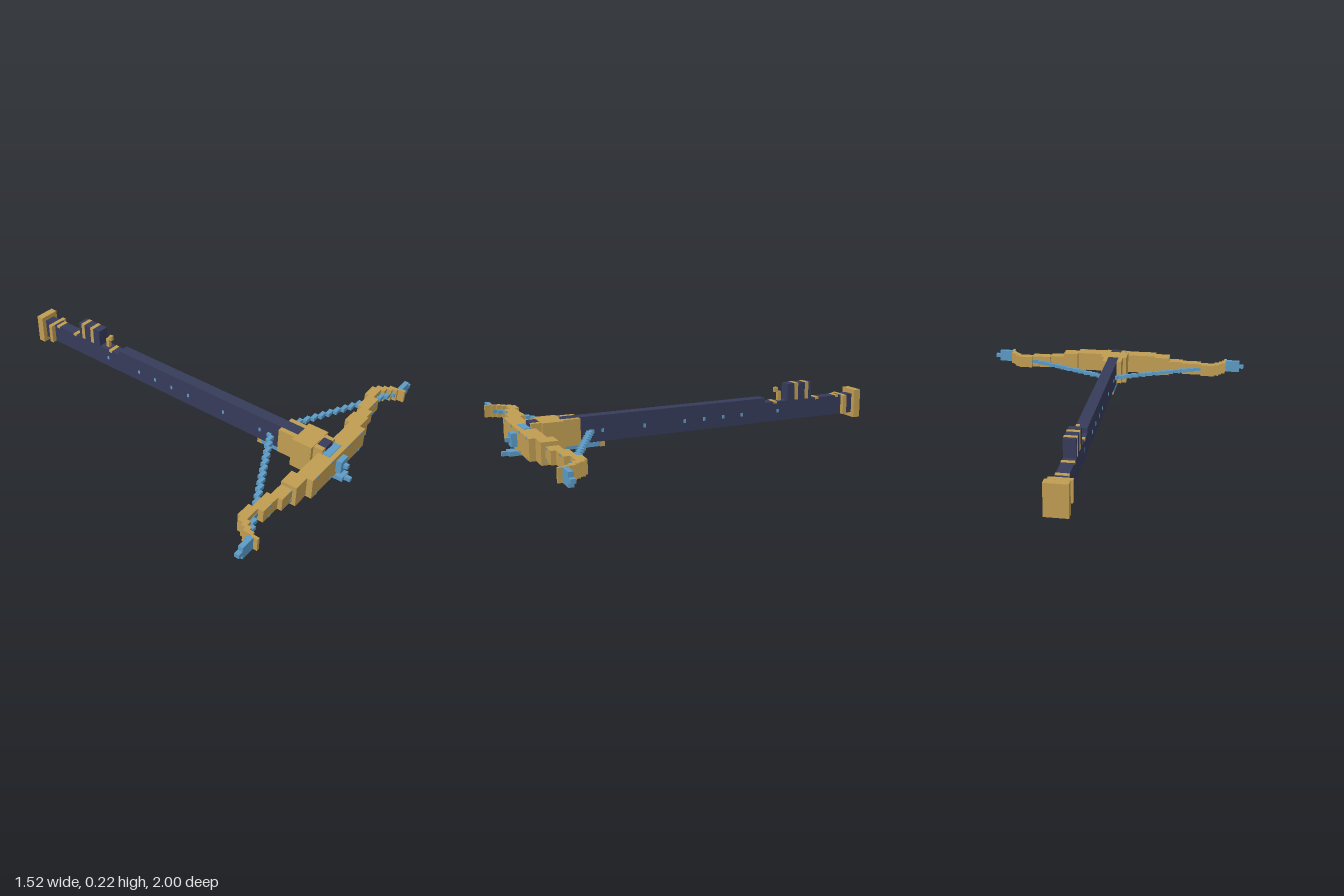
import * as THREE from 'three';

const mat = (name, color) => Object.assign(new THREE.MeshStandardMaterial({ color }), { name });

export function createModel() {
  const gold = mat('gold', 0xc09d52);
  const navy = mat('navy', 0x363b5a);
  const blue = mat('blue', 0x5b9bc6);
  const model = new THREE.Group();
  model.name = 'crossbow';

  // Box from its minimum and maximum on each axis
  function box(name, m, x0, x1, y0, y1, z0, z1) {
    const mesh = new THREE.Mesh(new THREE.BoxGeometry(x1 - x0, y1 - y0, z1 - z0), m);
    mesh.position.set((x0 + x1) / 2, (y0 + y1) / 2, (z0 + z1) / 2);
    mesh.name = name;
    model.add(mesh);
  }
  const centred = (name, m, w, ...r) => box(name, m, -w, w, ...r);
  function pair(name, m, x0, x1, ...r) {
    box(name + 'Left', m, x0, x1, ...r);
    box(name + 'Right', m, -x1, -x0, ...r);
  }

  // Stock and butt
  centred('foreStock', navy, 0.03, 0.025, 0.155, -0.4, 0.72);
  centred('rearStock', navy, 0.03, 0.025, 0.13, -0.96, -0.4);
  centred('buttPlate', gold, 0.055, 0.0, 0.155, -1.0, -0.96);
  centred('buttBand', gold, 0.055, 0.025, 0.131, -0.91, -0.887);

  // Inlaid bands on the rear stock
  for (const z of [-0.86, -0.73, -0.465]) centred('stockInlay', gold, 0.031, 0.12, 0.132, z - 0.01, z + 0.012);

  // Raised block with gold bands, and the catch in front of it
  centred('lockBlock', navy, 0.03, 0.13, 0.22, -0.69, -0.54);
  for (const z of [-0.66, -0.595]) centred('lockBand', gold, 0.031, 0.13, 0.221, z - 0.011, z + 0.011);
  centred('catchPost', gold, 0.009, 0.13, 0.18, -0.512, -0.492);
  centred('catchTip', gold, 0.009, 0.178, 0.203, -0.492, -0.472);

  // Side studs along the stock
  for (const z of [0.51, 0.29, 0.07, -0.04, -0.15, -0.26, -0.48])
    pair('sideStud', blue, 0.029, 0.032, 0.07, 0.089, z - 0.006, z + 0.006);

  // Socket joining stock and bow
  pair('socketCheek', gold, 0.03, 0.055, 0.025, 0.155, 0.63, 0.72);
  centred('socket', gold, 0.075, 0.0, 0.155, 0.715, 0.82);
  centred('socketFront', gold, 0.055, 0.025, 0.153, 0.82, 0.868);
  centred('socketInlay', navy, 0.03, 0.13, 0.155, 0.825, 0.87);
  centred('bowClasp', blue, 0.052, 0.12, 0.133, 0.868, 0.905);

  // Rail under the socket
  centred('rail', blue, 0.03, 0.002, 0.024, 0.525, 0.97);
  centred('railNose', blue, 0.01, 0.002, 0.022, 0.97, 1.0);
  centred('railTail', gold, 0.03, 0.0, 0.025, 0.5, 0.525);

  // Front boss
  centred('boss', blue, 0.03, 0.045, 0.11, 0.93, 0.958);
  centred('bossPin', blue, 0.01, 0.067, 0.087, 0.958, 0.98);

  // Stepped bow: centre, then mirrored limb sections [x0, x1, z0, z1, tall]
  centred('bowCentre', gold, 0.235, 0.025, 0.13, 0.847, 0.93);
  const limb = [
    [0.235, 0.32, 0.82, 0.9, true], [0.32, 0.4, 0.82, 0.88], [0.4, 0.51, 0.8, 0.857],
    [0.51, 0.59, 0.78, 0.828], [0.59, 0.615, 0.797, 0.848], [0.615, 0.632, 0.825, 0.872],
    [0.632, 0.652, 0.848, 0.895], [0.645, 0.66, 0.895, 0.93],
  ];
  for (const [x0, x1, z0, z1, tall] of limb)
    pair('bowLimb', gold, x0, x1, tall ? 0.025 : 0.045, tall ? 0.13 : 0.11, z0, z1);
  pair('bowTip', blue, 0.655, 0.735, 0.045, 0.11, 0.886, 0.91);
  pair('bowTipPin', blue, 0.735, 0.76, 0.067, 0.087, 0.886, 0.91);

  // Small studs on the front face of the bow
  const studs = [[0.07, 0.93, 0.025, 0.13], [0.195, 0.93, 0.025, 0.13], [0.33, 0.88, 0.045, 0.11], [0.46, 0.857, 0.045, 0.11]];
  for (const [x, z, lo, hi] of studs) {
    pair('bowStudTop', blue, x - 0.007, x + 0.007, hi - 0.012, hi, z - 0.004, z + 0.002);
    pair('bowStudBottom', blue, x - 0.007, x + 0.007, lo, lo + 0.012, z - 0.004, z + 0.002);
  }

  // Bowstring in short steps
  const steps = 17, w = 0.66 / steps;
  for (let i = 0; i < steps; i++) {
    const z = 0.568 + i * w * 0.5;
    pair('string', blue, i * w, (i + 1) * w + 0.004, 0.07, 0.089, z - 0.01, z + 0.011);
  }
  return model;
}
